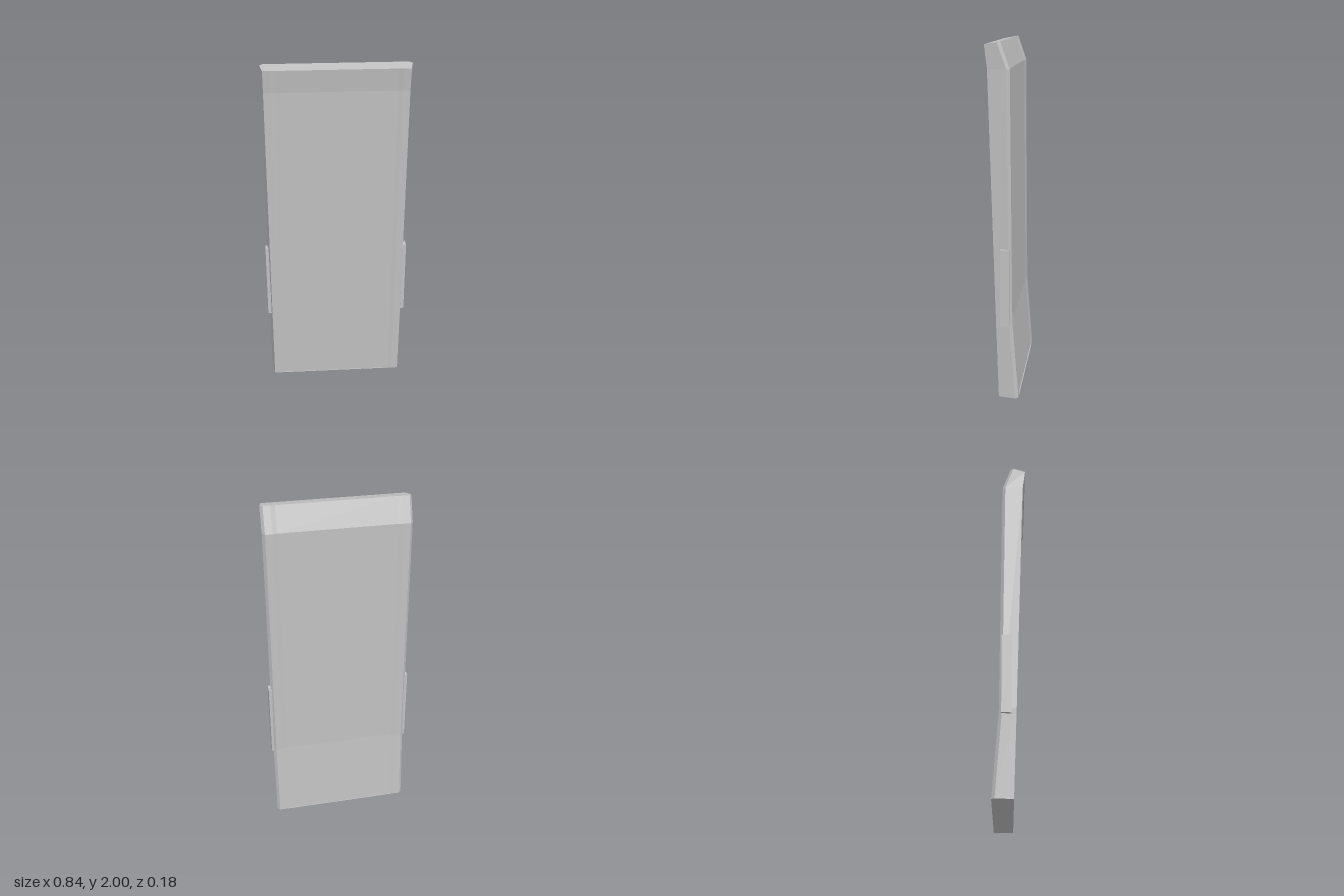
import * as THREE from 'three';

// Levels: [height of front edge, height of back edge, front z, back z]
const LEVELS = [
  [0, 0, 0.02, -0.093],
  [0.48, 0.46, 0.035, -0.058],
  [1.86, 1.86, 0.075, -0.044],
  [1.985, 2.0, 0.09, 0.005],
];

// Half outline of the panel from front to back: raised rims, flared sides, chamfered back corners
function halfRing([yf, yb, f, b]) {
  const outline = [
    [0.33, f - 0.005], [0.355, f], [0.395, f], [0.41, b + 0.017],
    [0.395, b], [0.355, b], [0.33, b + 0.005],
  ];
  return outline.map(([x, z]) => [x, yb + (yf - yb) * (z - b) / (f - b), z]);
}

const mirror = ([x, y, z]) => [-x, y, z];

function panelGeometry() {
  const pos = [];
  const quad = (a, b, c, d) => pos.push(...a, ...b, ...c, ...a, ...c, ...d);
  const halves = LEVELS.map(halfRing);
  const rings = halves.map(h => [...h, ...h.map(mirror).reverse()]);

  // Walls
  for (let l = 0; l < rings.length - 1; l++) {
    const lo = rings[l], hi = rings[l + 1];
    lo.forEach((p, i) => {
      const j = (i + 1) % lo.length;
      quad(p, lo[j], hi[j], hi[i]);
    });
  }

  // Bottom and top caps, as strips across the width
  const bottom = halves[0], top = halves[halves.length - 1];
  for (let i = 0; i < top.length - 1; i++) {
    quad(top[i], top[i + 1], mirror(top[i + 1]), mirror(top[i]));
    quad(mirror(bottom[i]), mirror(bottom[i + 1]), bottom[i + 1], bottom[i]);
  }

  const geo = new THREE.BufferGeometry();
  geo.setAttribute('position', new THREE.Float32BufferAttribute(pos, 3));
  geo.computeVertexNormals();
  return geo;
}

export function createModel() {
  const group = new THREE.Group();
  group.name = 'bentPanel';
  const grey = new THREE.MeshStandardMaterial({ color: 0xc0c0c0, flatShading: true });
  grey.name = 'light grey';

  // Bent slab
  const panel = new THREE.Mesh(panelGeometry(), grey);
  panel.name = 'panel';
  group.add(panel);

  // Grip strip on each side
  for (const side of [1, -1]) {
    const grip = new THREE.Mesh(new THREE.BoxGeometry(0.03, 0.445, 0.052), grey);
    grip.name = side > 0 ? 'leftGrip' : 'rightGrip';
    grip.position.set(side * 0.406, 0.667, -0.019);
    group.add(grip);
  }
  return group;
}
